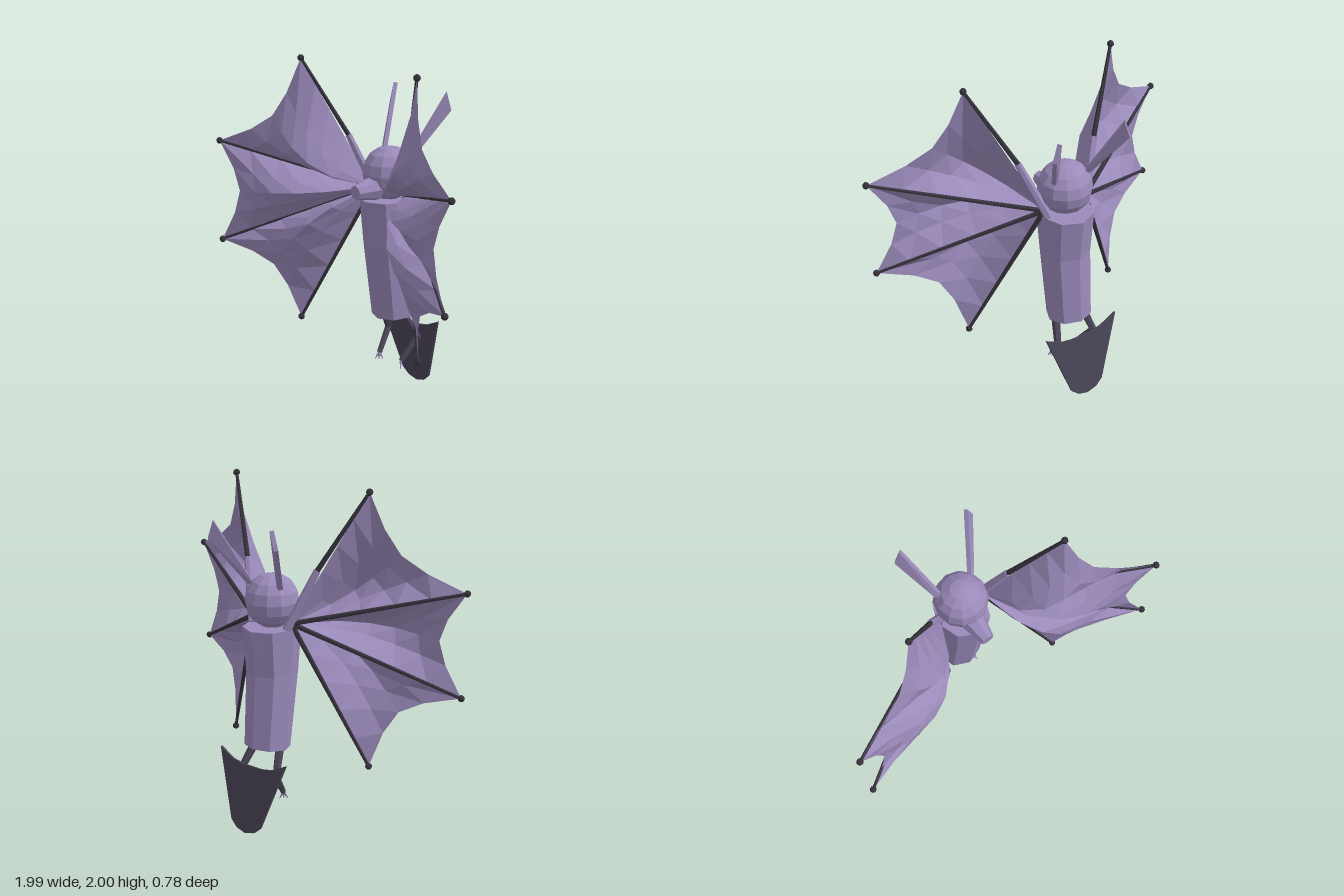
import * as THREE from 'three';
import { ConvexGeometry } from 'three/addons/geometries/ConvexGeometry.js';

const V = (x, y, z) => new THREE.Vector3(x, y, z);

export function createModel() {
  const model = new THREE.Group();
  const mat = (name, color, side = THREE.FrontSide) => {
    const m = new THREE.MeshStandardMaterial({ color, side, flatShading: true });
    m.name = name;
    return m;
  };
  const lavender = mat('lavender', 0x9a8aba, THREE.DoubleSide);
  const dusk = mat('dusk', 0x4a4456);
  const charcoal = mat('charcoal', 0x36323c);

  const add = (name, geometry, material, parent = model) => {
    const mesh = new THREE.Mesh(geometry, material);
    mesh.name = name;
    parent.add(mesh);
    return mesh;
  };
  // tapered rod from a to b
  const rod = (name, a, b, ra, rb, material, parent, sides = 6) => {
    const dir = b.clone().sub(a);
    const mesh = add(name, new THREE.CylinderGeometry(rb, ra, dir.length(), sides), material, parent);
    mesh.position.copy(a).lerp(b, 0.5);
    mesh.quaternion.setFromUnitVectors(V(0, 1, 0), dir.normalize());
    return mesh;
  };

  // body: bent eight-sided barrel, sections from bottom to top
  const sections = [
    { y: 0.487, z: -0.175, rx: 0.135, rz: 0.13 },
    { y: 0.93, z: -0.13, rx: 0.147, rz: 0.15 },
    { y: 1.2, z: -0.13, rx: 0.157, rz: 0.182 },
  ];
  const bodyGeo = new THREE.CylinderGeometry(1, 1, 1, 8, 2);
  const bp = bodyGeo.attributes.position;
  for (let i = 0; i < bp.count; i++) {
    const k = Math.round((bp.getY(i) + 0.5) * 2), s = sections[k], nz = bp.getZ(i);
    bp.setXYZ(i, bp.getX(i) * s.rx, s.y - (k === 0 ? nz * 0.012 : 0), s.z + nz * s.rz);
  }
  bodyGeo.computeVertexNormals();
  add('body', bodyGeo, lavender);

  // head and snout
  add('head', new THREE.SphereGeometry(0.157, 12, 8), lavender).position.set(0, 1.347, -0.13);
  rod('snout', V(0, 1.275, -0.02), V(0, 1.27, 0.13), 0.075, 0.04, lavender, model, 8);

  // tail membrane: thin tilted shield with a dipped top edge
  const tail = new THREE.Shape();
  tail.moveTo(-0.245, 0.465);
  tail.lineTo(-0.11, 0.06);
  tail.lineTo(-0.065, 0.02);
  tail.lineTo(0, 0.003);
  tail.lineTo(0.065, 0.02);
  tail.lineTo(0.11, 0.06);
  tail.lineTo(0.245, 0.465);
  tail.lineTo(0.14, 0.415);
  tail.lineTo(0.07, 0.403);
  tail.lineTo(-0.07, 0.403);
  tail.lineTo(-0.14, 0.415);
  const tailMesh = add('tailMembrane', new THREE.ExtrudeGeometry(tail, { depth: 0.015, bevelEnabled: false }), dusk);
  tailMesh.position.set(0, 0, -0.382);
  tailMesh.rotation.x = 0.16;

  // wing panel between two fingers: scalloped rim, cupped forward
  const panel = (root, a, b) => {
    const NU = 4, NV = 5, pos = [], idx = [];
    for (let j = 0; j <= NV; j++) {
      for (let i = 0; i <= NU; i++) {
        const u = i / NU, v = j / NV, arc = Math.sin(Math.PI * u);
        const p = a.clone().lerp(b, u).sub(root).multiplyScalar(v * (1 - 0.17 * arc)).add(root);
        p.z += 0.19 * arc * (Math.sin(Math.PI * Math.pow(v, 0.7)) + 0.25 * v);
        pos.push(p.x, p.y, p.z);
        if (i < NU && j < NV) {
          const k = j * (NU + 1) + i, n = k + NU + 1;
          if (j > 0) idx.push(k, k + 1, n);
          idx.push(k + 1, n + 1, n);
        }
      }
    }
    const g = new THREE.BufferGeometry();
    g.setAttribute('position', new THREE.Float32BufferAttribute(pos, 3));
    g.setIndex(idx);
    g.computeVertexNormals();
    return g;
  };

  for (const [s, label] of [[1, 'left'], [-1, 'right']]) {
    const P = (x, y, z) => V(x * s, y, z);

    // wing
    const wing = new THREE.Group();
    wing.name = label + 'Wing';
    model.add(wing);
    const root = P(0.14, 1.235, -0.13), elbow = P(0.255, 1.54, -0.045);
    const tips = [
      P(0.48, 1.98, 0.12), P(0.975, 1.45, 0.355),
      P(0.955, 0.84, 0.37), P(0.51, 0.395, 0.12),
    ];
    rod('upperArm', P(0.125, 1.2, -0.15), elbow, 0.028, 0.02, lavender, wing);
    tips.forEach((tip, i) => {
      rod('finger', i === 0 ? elbow : root, tip, 0.015, 0.009, charcoal, wing);
      add('fingerTip', new THREE.SphereGeometry(0.02, 8, 6), charcoal, wing).position.copy(tip);
      if (i < 3) add('wingMembrane', panel(root, tip, tips[i + 1]), lavender, wing);
    });

    // ear: slanted blade, widest near the tip
    const n = P(0.66, 0.17, 0.73).multiplyScalar(0.012);
    const ear = [
      P(0.21, 1.815, -0.378), P(0.245, 1.71, -0.383),
      P(0.125, 1.44, -0.2), P(0.09, 1.43, -0.175),
    ];
    add(label + 'Ear', new ConvexGeometry(ear.flatMap(p => [p.clone().add(n), p.clone().sub(n)])), lavender);

    // leg with bent knee and three toes
    const leg = new THREE.Group();
    leg.name = label + 'Leg';
    model.add(leg);
    const hip = P(0.085, 0.51, -0.16), knee = P(0.128, 0.345, -0.25), ankle = P(0.095, 0.21, -0.145);
    rod('thigh', hip, knee, 0.027, 0.021, dusk, leg);
    add('knee', new THREE.SphereGeometry(0.021, 6, 4), dusk, leg).position.copy(knee);
    rod('shin', knee, ankle, 0.021, 0.016, dusk, leg);
    for (const t of [-1, 0, 1]) {
      rod('toe', ankle, ankle.clone().add(V(t * 0.017, -0.042, 0.004 + t * s * 0.018)), 0.009, 0.002, lavender, leg, 5);
    }
  }
  return model;
}
